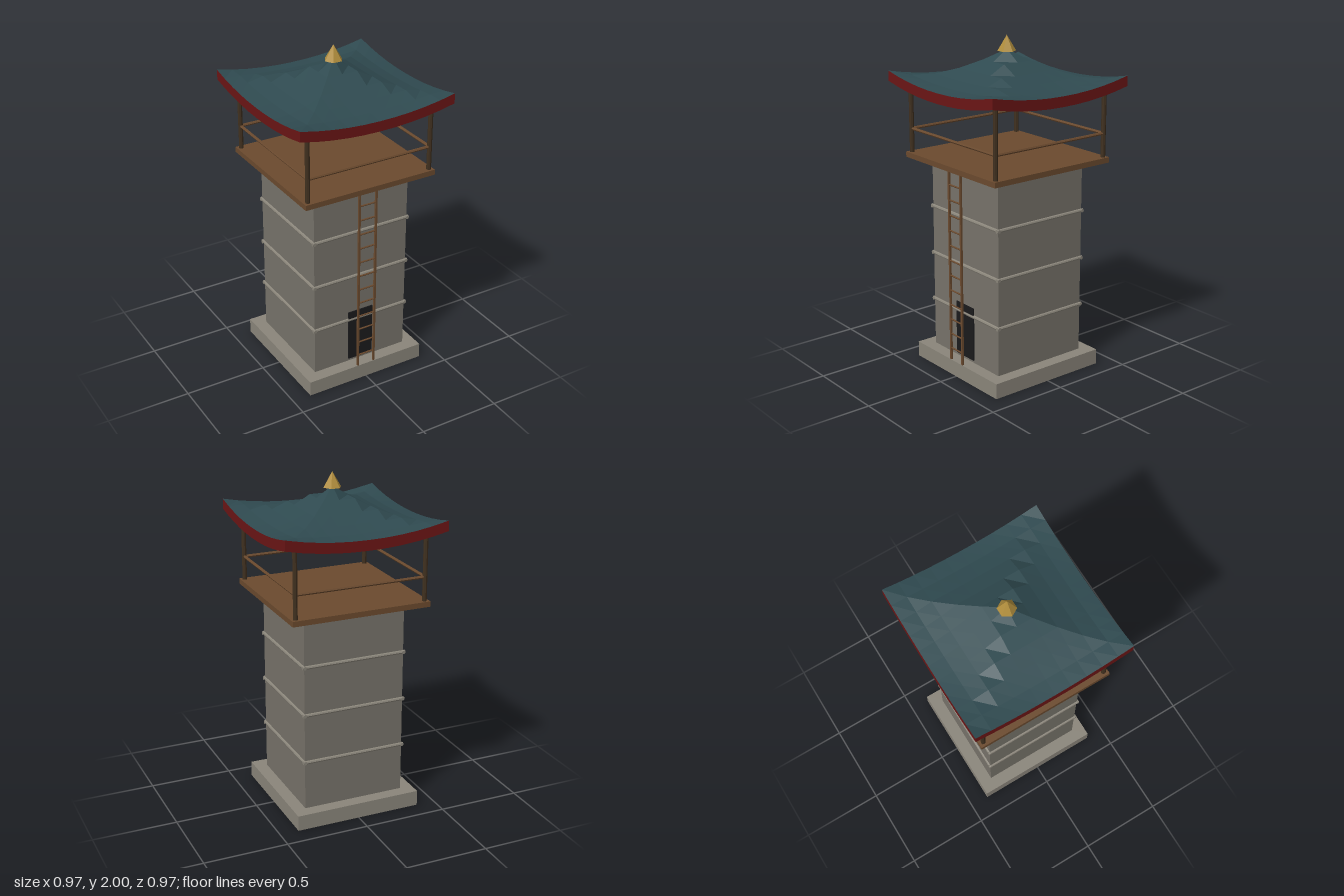
import * as THREE from 'three';

const mat = (color, extra = {}) => new THREE.MeshStandardMaterial({ color, flatShading: true, ...extra });
const stone = mat(0x77736a), paleStone = mat(0x8a857a);
const wood = mat(0x6b4a2e), darkWood = mat(0x40301f), doorDark = mat(0x1a1a1c);
const tile = mat(0x2f4a50), tileUnder = mat(0x2f4a50, { side: THREE.DoubleSide });
const red = mat(0x6b1515, { side: THREE.DoubleSide }), gold = mat(0xb08d3c);

const EAVE = 0.485, SEGMENTS = 10;

// Swept roof: concave pyramid whose corners curl upward
function roofHeight(x, z) {
  const ax = Math.min(1, Math.abs(x) / EAVE), az = Math.min(1, Math.abs(z) / EAVE);
  return 1.727 + 0.193 * (1 - Math.max(ax, az)) ** 1.8 + 0.054 * (ax * az) ** 2.1;
}

function add(parent, name, geometry, material, x = 0, y = 0, z = 0) {
  const mesh = new THREE.Mesh(geometry, material);
  mesh.name = name;
  mesh.position.set(x, y, z);
  parent.add(mesh);
  return mesh;
}

// Box given by its bottom and top heights
function block(parent, name, material, width, y0, y1, depth, x = 0, z = 0) {
  return add(parent, name, new THREE.BoxGeometry(width, y1 - y0, depth), material, x, (y0 + y1) / 2, z);
}

function roofSheet(drop) {
  const g = new THREE.PlaneGeometry(2 * EAVE, 2 * EAVE, SEGMENTS, SEGMENTS).rotateX(-Math.PI / 2);
  const p = g.attributes.position;
  for (let i = 0; i < p.count; i++) p.setY(i, roofHeight(p.getX(i), p.getZ(i)) - drop);
  g.computeVertexNormals();
  return g;
}

// Curved board that follows one eave
function eaveBoard() {
  const g = new THREE.PlaneGeometry(2 * EAVE, 1, SEGMENTS, 1);
  const p = g.attributes.position;
  for (let i = 0; i < p.count; i++) {
    p.setY(i, roofHeight(p.getX(i), EAVE) - (p.getY(i) > 0 ? 0 : 0.06));
    p.setZ(i, EAVE);
  }
  g.computeVertexNormals();
  return g;
}

export function createModel() {
  const model = new THREE.Group();
  model.name = 'watchtower';

  // Stone shaft and plinth
  block(model, 'plinth', paleStone, 0.772, 0, 0.093, 0.772);
  block(model, 'shaft', stone, 0.62, 0.093, 1.27, 0.62);
  block(model, 'door', doorDark, 0.164, 0.11, 0.44, 0.02, 0, 0.307);
  block(model, 'platform', wood, 0.84, 1.27, 1.302, 0.84);

  // Parts repeated on all four sides
  for (let i = 0; i < 4; i++) {
    const side = new THREE.Group();
    side.name = 'side' + (i + 1);
    side.rotation.y = i * Math.PI / 2;
    model.add(side);
    for (const y of [0.387, 0.682, 0.975]) {
      const band = new THREE.CylinderGeometry(0.011, 0.011, 0.642, 8).rotateZ(Math.PI / 2);
      add(side, 'stoneBand', band, paleStone, 0, y, 0.31);
    }
    add(side, 'post', new THREE.CylinderGeometry(0.014, 0.014, 0.44, 8), darkWood, 0.394, 1.52, 0.394);
    const rail = new THREE.CylinderGeometry(0.009, 0.009, 0.788, 6).rotateZ(Math.PI / 2);
    add(side, 'rail', rail, wood, 0, 1.443, 0.394);
    add(side, 'eaveBoard', eaveBoard(), red);
  }

  // Ladder up the front
  const ladder = new THREE.Group();
  ladder.name = 'ladder';
  model.add(ladder);
  for (const x of [-0.055, 0.055]) block(ladder, 'ladderStile', wood, 0.012, 0.093, 1.27, 0.012, x, 0.378);
  for (let i = 0; i < 12; i++) {
    const rung = new THREE.CylinderGeometry(0.005, 0.005, 0.11, 6).rotateZ(Math.PI / 2);
    add(ladder, 'ladderRung', rung, wood, 0, 1.176 - 0.0918 * i, 0.378);
  }

  // Roof, its underside and the finial
  add(model, 'roof', roofSheet(0), tile);
  add(model, 'roofUnderside', roofSheet(0.027), tileUnder);
  add(model, 'finial', new THREE.ConeGeometry(0.054, 0.09, 6).rotateY(Math.PI / 6), gold, 0, 1.955, 0);

  return model;
}
